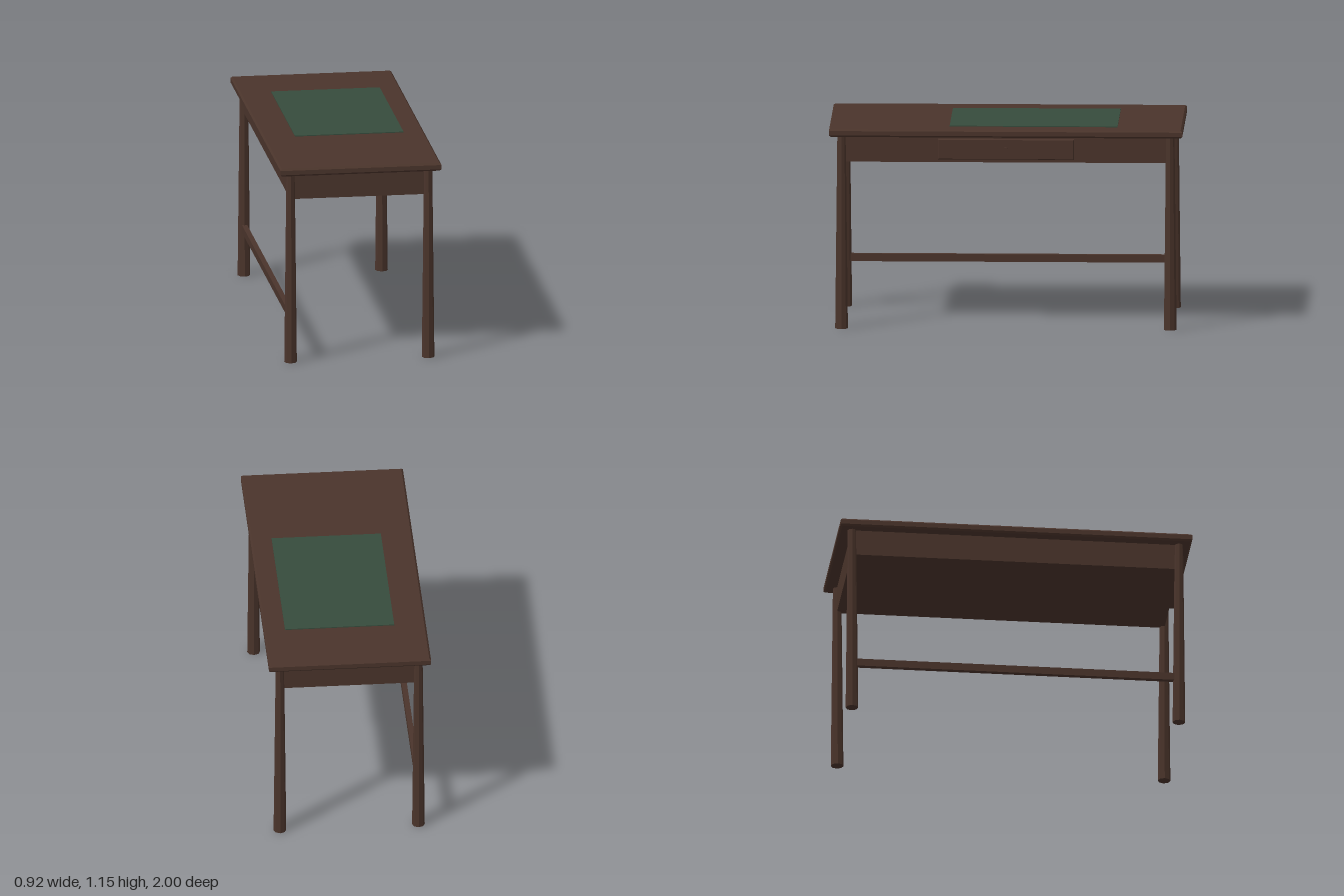
import * as THREE from 'three';

const wood = new THREE.MeshStandardMaterial({ color: 0x4a342b });
wood.name = 'darkWood';
const green = new THREE.MeshStandardMaterial({ color: 0x364b3c });
green.name = 'greenMat';

// Box with its faces' edges chamfered along the local z direction
function bevelledSlab(width, height, depth, bevel) {
  const w = width / 2 - bevel, h = height / 2 - bevel;
  const shape = new THREE.Shape([
    new THREE.Vector2(-w, -h), new THREE.Vector2(w, -h),
    new THREE.Vector2(w, h), new THREE.Vector2(-w, h),
  ]);
  const geometry = new THREE.ExtrudeGeometry(shape, {
    depth: depth - 2 * bevel, bevelEnabled: true,
    bevelThickness: bevel, bevelSize: bevel, bevelSegments: 1,
  });
  return geometry.center();
}

export function createModel() {
  const desk = new THREE.Group();
  desk.name = 'desk';

  function add(name, geometry, material, x, y, z) {
    const mesh = new THREE.Mesh(geometry, material);
    mesh.name = name;
    mesh.position.set(x, y, z);
    desk.add(mesh);
    return mesh;
  }

  // Worktop with chamfered rim
  const top = bevelledSlab(0.92, 2, 0.045, 0.01).rotateX(-Math.PI / 2);
  add('worktop', top, wood, 0, 1.1275, 0);

  // Writing mat, set off-centre
  add('writingMat', new THREE.BoxGeometry(0.62, 0.005, 0.95), green, 0.03, 1.1525, -0.155);

  // Closed case beneath the worktop
  add('apron', new THREE.BoxGeometry(0.79, 0.152, 1.864), wood, 0, 1.031, 0);

  // Four tapered legs
  const legGeometry = new THREE.CylinderGeometry(0.024, 0.036, 1.106, 8).toNonIndexed();
  legGeometry.computeVertexNormals();
  for (const x of [-0.393, 0.393]) {
    for (const z of [-0.93, 0.93]) add('leg', legGeometry, wood, x, 0.553, z);
  }

  // Long stretcher on one side
  add('stretcher', new THREE.BoxGeometry(0.03, 0.043, 1.86), wood, -0.393, 0.279, 0);

  // Drawer front and knob on the opposite side
  const front = bevelledSlab(0.77, 0.116, 0.03, 0.004).rotateY(Math.PI / 2);
  add('drawerFront', front, wood, 0.403, 1.032, 0);
  const knob = new THREE.CylinderGeometry(0.013, 0.013, 0.022, 12).rotateZ(-Math.PI / 2);
  add('drawerKnob', knob, wood, 0.425, 1.033, 0);

  return desk;
}
